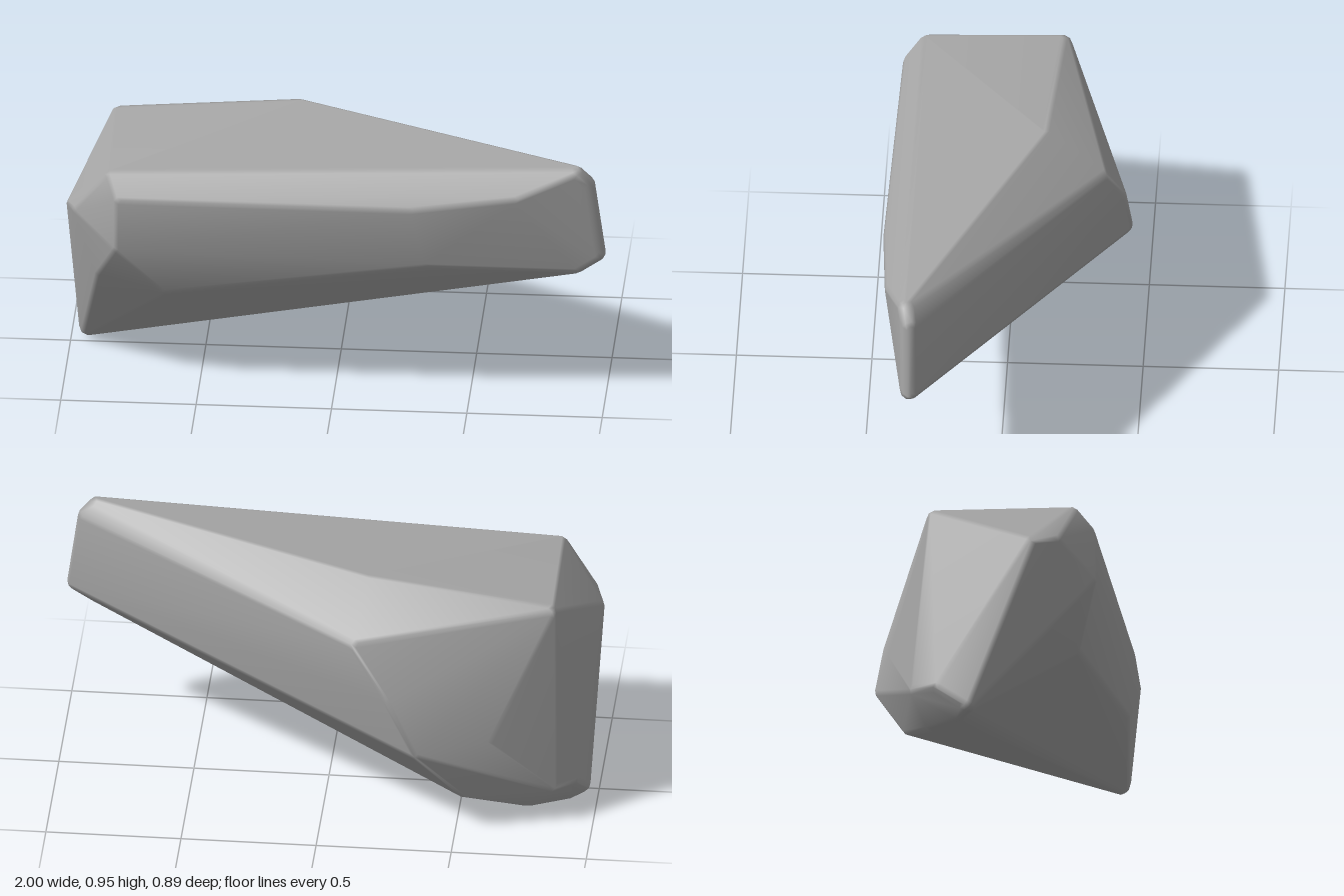
import * as THREE from 'three';
import { ConvexGeometry } from 'three/addons/geometries/ConvexGeometry.js';
import { mergeVertices } from 'three/addons/utils/BufferGeometryUtils.js';

// Corner stones of the boulder, rounded later
const corners = [
  // top face
  [-0.85, 0.87, 0.36], [0.92, 0.945, 0.36], [-0.17, 0.955, -0.14], [-0.86, 0.88, -0.18],
  // front face
  [-0.82, 0.8, 0.42], [-0.82, 0.6, 0.425], [0.3, 0.81, 0.445], [0.35, 0.58, 0.42], [0.7, 0.86, 0.42],
  [-0.65, 0.39, 0.34], [-0.89, 0.45, 0.33],
  // narrow tip
  [1.0, 0.6, 0.345], [0.96, 0.9, 0.35], [0.92, 0.545, 0.35],
  // blunt end
  [-1.0, 0.68, 0.22], [-0.97, 0.7, 0.31], [-0.97, 0.01, -0.04],
  // underside
  [-0.92, 0.0, -0.08], [-0.78, 0.03, -0.2], [-0.94, 0.1, -0.15], [-0.87, 0.13, -0.25], [-0.55, 0.13, -0.32],
  // back face
  [-0.38, 0.37, -0.445], [-0.64, 0.39, -0.36], [-0.27, 0.6, -0.425], [-0.135, 0.8, -0.36],
];

// Points spread evenly over a small ball
function ball(radius, count) {
  return Array.from({ length: count }, (_, i) => {
    const y = 1 - (2 * i + 1) / count, r = Math.sqrt(1 - y * y), a = i * 2.39996;
    return new THREE.Vector3(r * Math.cos(a), y, r * Math.sin(a)).multiplyScalar(radius);
  });
}

export function createModel() {
  const group = new THREE.Group();
  group.name = 'boulder';
  const stone = new THREE.MeshStandardMaterial({ color: 0xa6a6a6 });
  stone.name = 'grey stone';

  // Convex hull around a ball set just inside each corner
  const radius = 0.035, middle = new THREE.Vector3(0, 0.4775, 0);
  const inset = new THREE.Vector3(1 - radius, 1 - radius / 0.4775, 1 - radius / 0.445);
  const round = ball(radius, 36);
  const points = corners.flatMap((c) => {
    const centre = new THREE.Vector3(...c).sub(middle).multiply(inset).add(middle);
    return round.map((p) => p.clone().add(centre));
  });
  const hull = new ConvexGeometry(points);

  // Shared vertices give soft edges between broad faces
  hull.deleteAttribute('normal');
  const geometry = mergeVertices(hull, 1e-4);
  geometry.computeVertexNormals();

  const rock = new THREE.Mesh(geometry, stone);
  rock.name = 'rock';
  group.add(rock);
  return group;
}
